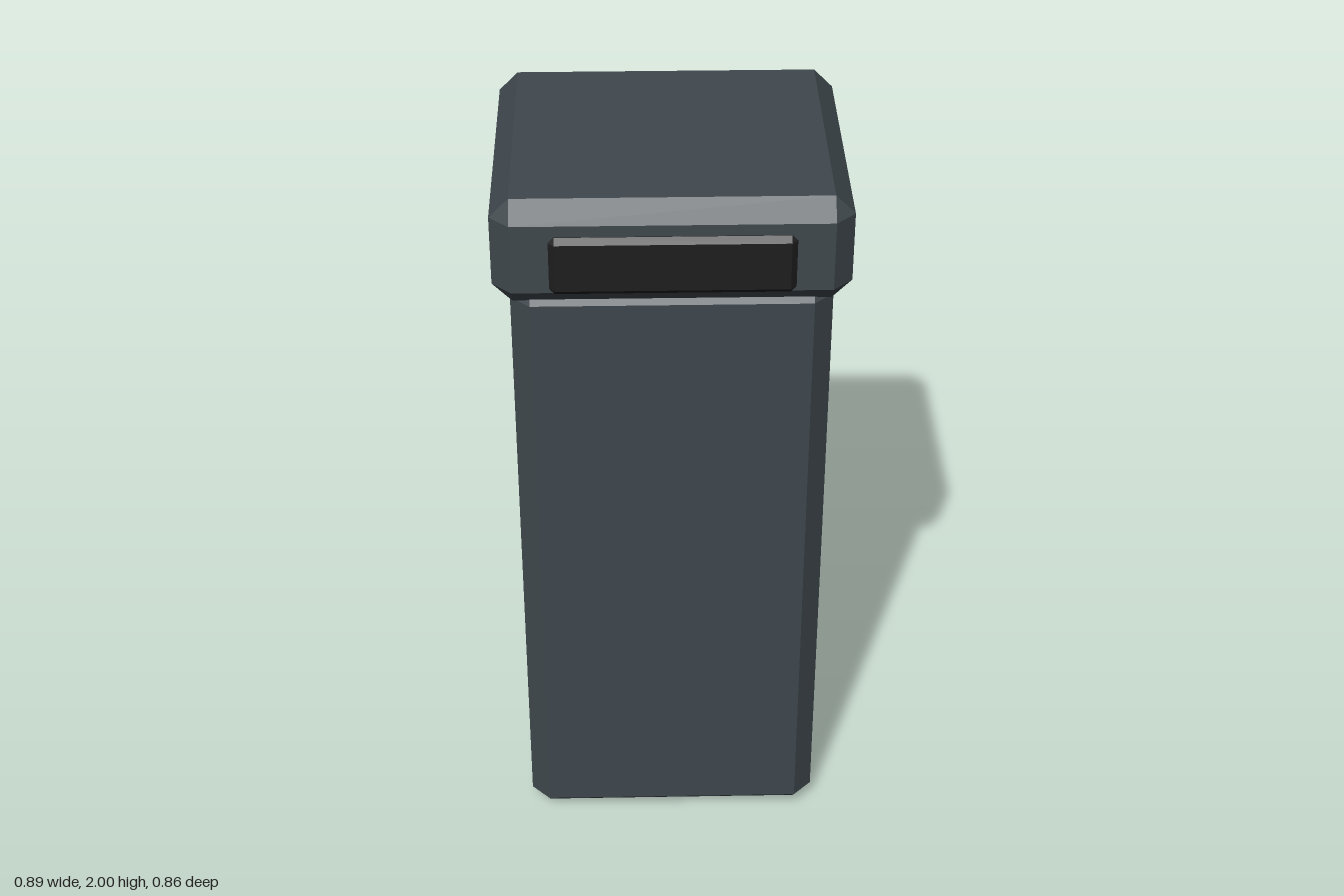
import * as THREE from 'three';
import { ConvexGeometry } from 'three/addons/geometries/ConvexGeometry.js';

// Box from corner min to corner max with every edge cut flat by c
function chamferBox(name, min, max, c, material) {
  const half = max.map((v, i) => (v - min[i]) / 2);
  const points = [];
  for (const sx of [-1, 1]) for (const sy of [-1, 1]) for (const sz of [-1, 1]) {
    const s = [sx, sy, sz];
    // three points per corner, each lying on one face
    for (let face = 0; face < 3; face++) {
      points.push(new THREE.Vector3(...s.map((d, i) => d * (half[i] - (i === face ? 0 : c)))));
    }
  }
  const mesh = new THREE.Mesh(new ConvexGeometry(points), material);
  mesh.name = name;
  mesh.position.set(...min.map((v, i) => v + half[i]));
  return mesh;
}

export function createModel() {
  const slate = new THREE.MeshStandardMaterial({ color: 0x3f484d });
  slate.name = 'slate grey';
  const black = new THREE.MeshStandardMaterial({ color: 0x1e1e1e });
  black.name = 'soft black';

  const model = new THREE.Group();
  model.name = 'bin';
  model.add(
    // tall body, its top edge tucked up into the lid
    chamferBox('body', [-0.405, 0, -0.396], [0.405, 1.758, 0.352], 0.05, slate),
    // overhanging lid
    chamferBox('lid', [-0.447, 1.715, -0.43], [0.447, 2, 0.383], 0.05, slate),
    // opening flap, floating just in front of the lid
    chamferBox('flap', [-0.302, 1.78, 0.397], [0.302, 1.936, 0.428], 0.0145, black),
  );
  return model;
}
